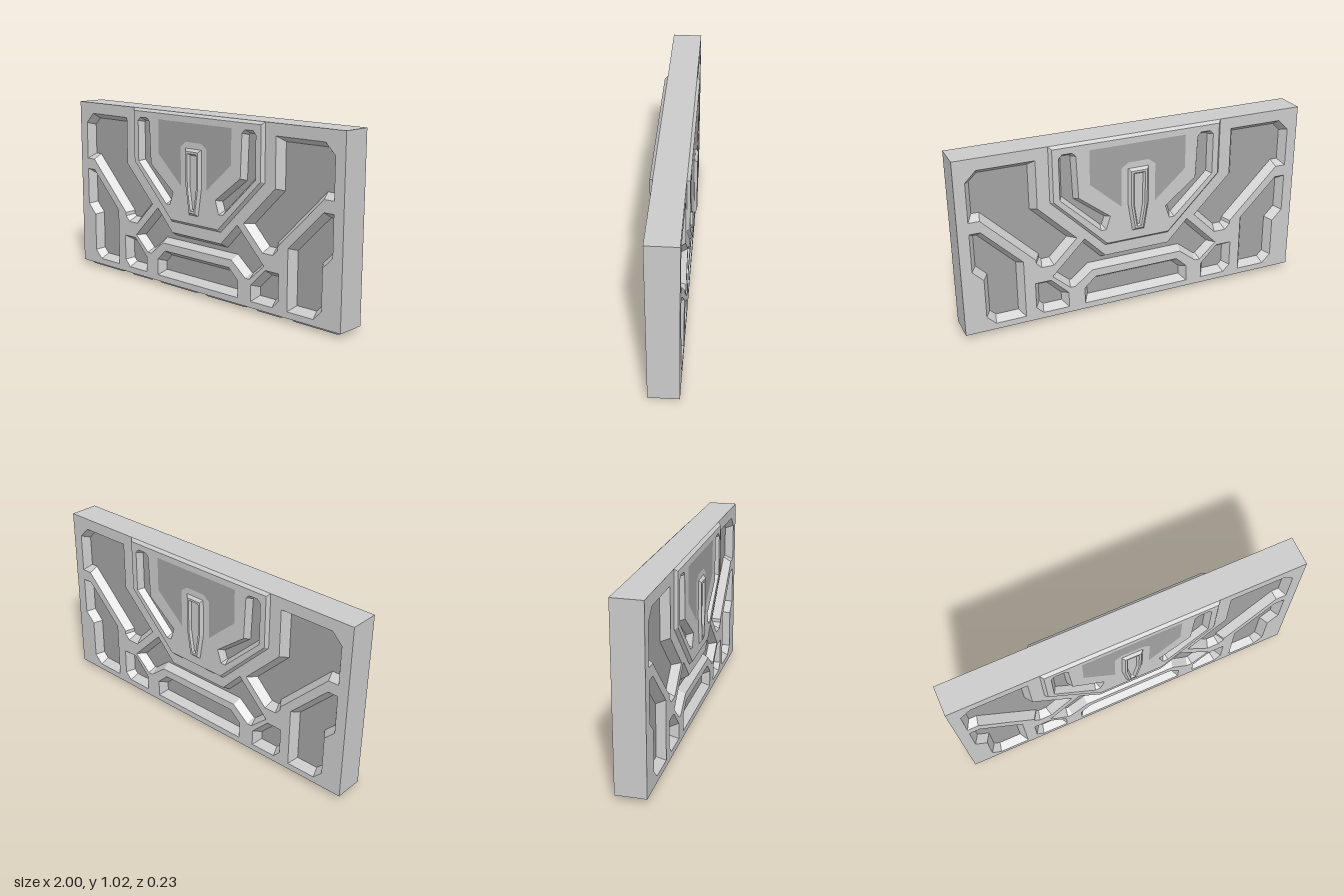
import * as THREE from 'three';

const body = new THREE.MeshStandardMaterial({ color: 0xcccccc });
const dark = new THREE.MeshStandardMaterial({ color: 0xa3a3a3 });
const FACE = 0.083, PLATE = 0.1, CREST = 0.115;

const mirror = (pts) => pts.map(([x, y]) => [-x, y]).reverse();
const vec = (pts) => pts.map(([x, y]) => new THREE.Vector2(x, y));
const ccw = (pts) => (THREE.ShapeUtils.area(vec(pts)) < 0 ? [...pts].reverse() : pts);

// Shrinks a counter-clockwise polygon by d with mitred corners
function inset(pts, d) {
  const n = pts.length;
  const normal = (a, b) => {
    const l = Math.hypot(b[0] - a[0], b[1] - a[1]);
    return [-(b[1] - a[1]) / l, (b[0] - a[0]) / l];
  };
  return pts.map((p, i) => {
    const u = normal(pts[(i + n - 1) % n], p), v = normal(p, pts[(i + 1) % n]);
    const k = d / (1 + u[0] * v[0] + u[1] * v[1]);
    return [p[0] + (u[0] + v[0]) * k, p[1] + (u[1] + v[1]) * k];
  });
}

function add(group, name, geometry, material = body) {
  const mesh = new THREE.Mesh(geometry, material);
  mesh.name = name;
  group.add(mesh);
}

// Strip of flat quads joining an outer loop to an inner loop
function band(a, za, b, zb) {
  const pos = [];
  a.forEach((p, i) => {
    const j = (i + 1) % a.length;
    const A = [...p, za], B = [...a[j], za], C = [...b[j], zb], D = [...b[i], zb];
    pos.push(...A, ...B, ...C, ...A, ...C, ...D);
  });
  const g = new THREE.BufferGeometry();
  g.setAttribute('position', new THREE.Float32BufferAttribute(pos, 3));
  g.computeVertexNormals();
  return g;
}

// Flat sheet with optional holes
function sheet(pts, z, holes = []) {
  const s = new THREE.Shape(vec(pts));
  s.holes = holes.map((h) => new THREE.Path(vec(h)));
  return new THREE.ShapeGeometry(s).translate(0, 0, z);
}

// Sunken panel with sloping walls
function pocket(group, name, pts, z, depth, slope) {
  const floor = inset(pts, slope);
  add(group, name + 'Wall', band(pts, z, floor, z - depth));
  add(group, name + 'Floor', sheet(floor, z - depth), dark);
}

// Outlines of the +x half's pockets, mirrored below
const upperPocket = [[-.94, .9], [-.88, .96], [-.57, .96], [-.57, .69], [-.355, .475],
  [-.49, .34], [-.56, .34], [-.59, .37], [-.59, .39], [-.88, .68], [-.94, .68]];
const sidePocket = [[-.94, .615], [-.88, .615], [-.66, .395], [-.66, .06], [-.83, .06],
  [-.88, .11], [-.88, .335], [-.94, .395]];
const cornerPocket = [[-.6, .25], [-.51, .25], [-.41, .15], [-.41, .06], [-.56, .06], [-.6, .1]];
const wingPocket = [[-.31, .46], [-.19, .335], [.19, .335], [.31, .46], [.5, .27], [.4, .18],
  [.37, .18], [.27, .26], [-.27, .26], [-.37, .18], [-.4, .18], [-.5, .27]];
const basePocket = [[-.315, .155], [-.25, .215], [.25, .215], [.315, .155], [.315, .06], [-.315, .06]];
const slot = [[-.45, .955], [-.43, .975], [-.375, .975], [-.355, .955], [-.345, .715],
  [-.165, .575], [-.19, .5], [-.22, .5], [-.45, .72]];
const plate = [[-.5, 1.025], [-.5, .71], [-.19, .4], [.19, .4], [.5, .71], [.5, 1.025]];
const inlay = ccw([[-.28, .975], [.28, .975], [.28, .78], [.1, .62], [.1, .84], [.06, .87],
  [-.06, .87], [-.1, .84], [-.1, .62], [-.28, .78]]);
const crest = ccw([[-.06, .835], [.06, .835], [.06, .62], [.035, .465], [-.035, .465], [-.06, .62]]);

function buildSide() {
  const side = new THREE.Group();
  // Main face, notched for the raised plate
  const both = (p) => [ccw(p), ccw(mirror(p))];
  const groups = { upperPocket: both(upperPocket), sidePocket: both(sidePocket),
    cornerPocket: both(cornerPocket), wingPocket: [ccw(wingPocket)], basePocket: [ccw(basePocket)] };
  const outline = [[-1, .025], [1, .025], [1, 1.025], ...[...plate].reverse(), [-1, 1.025]];
  add(side, 'face', sheet(outline, FACE, Object.values(groups).flat()));
  for (const [name, list] of Object.entries(groups)) {
    for (const p of list) pocket(side, name, p, FACE, 0.045, name === 'wingPocket' ? 0.025 : 0.03);
  }

  // Raised central plate with two slots and a flush dark inlay
  const top = inset(plate, 0.015), slots = both(slot);
  add(side, 'plateBevel', band(plate, FACE, top, PLATE));
  add(side, 'plateFace', sheet(top, PLATE, [...slots, inlay]));
  add(side, 'plateInlay', sheet(inlay, PLATE), dark);
  for (const p of slots) pocket(side, 'plateSlot', p, PLATE, 0.035, 0.02);

  // Tapered crest with a hollow middle
  const rim = inset(crest, 0.014), lip = inset(crest, 0.026), floor = inset(crest, 0.035);
  add(side, 'crestBevel', band(crest, PLATE, rim, CREST));
  add(side, 'crestRim', band(rim, CREST, lip, CREST));
  add(side, 'crestHollow', band(lip, CREST, floor, PLATE + 0.002));
  add(side, 'crestFloor', sheet(floor, PLATE + 0.002));
  return side;
}

export function createModel() {
  const model = new THREE.Group();
  model.name = 'panelBarrier';

  // Slab edges
  const rect = [[-1, .025], [1, .025], [1, 1.025], [-1, 1.025]];
  add(model, 'slabEdge', band(rect, -FACE, rect, FACE));

  // Identical front and back
  const front = buildSide();
  front.name = 'frontSide';
  const back = front.clone();
  back.name = 'backSide';
  back.rotation.y = Math.PI;
  model.add(front, back);

  // Tapered feet under the slab
  const feet = new THREE.Group();
  feet.name = 'feet';
  for (const [x0, x1] of [[.016, .36], [.395, .607], [.645, .98]]) {
    for (const s of [-1, 1]) {
      const a = s > 0 ? x0 : -x1, b = s > 0 ? x1 : -x0, w = 0.062, c = 0.02;
      const loop = [[a + c, -w], [b - c, -w], [b, c - w], [b, w - c],
        [b - c, w], [a + c, w], [a, w - c], [a, c - w]];
      const sole = inset(loop, 0.022);
      add(feet, 'footBevel', band(loop, -0.025, sole, 0));
      add(feet, 'footSole', sheet(sole, 0), dark);
    }
  }
  feet.rotation.x = Math.PI / 2;
  model.add(feet);
  return model;
}
